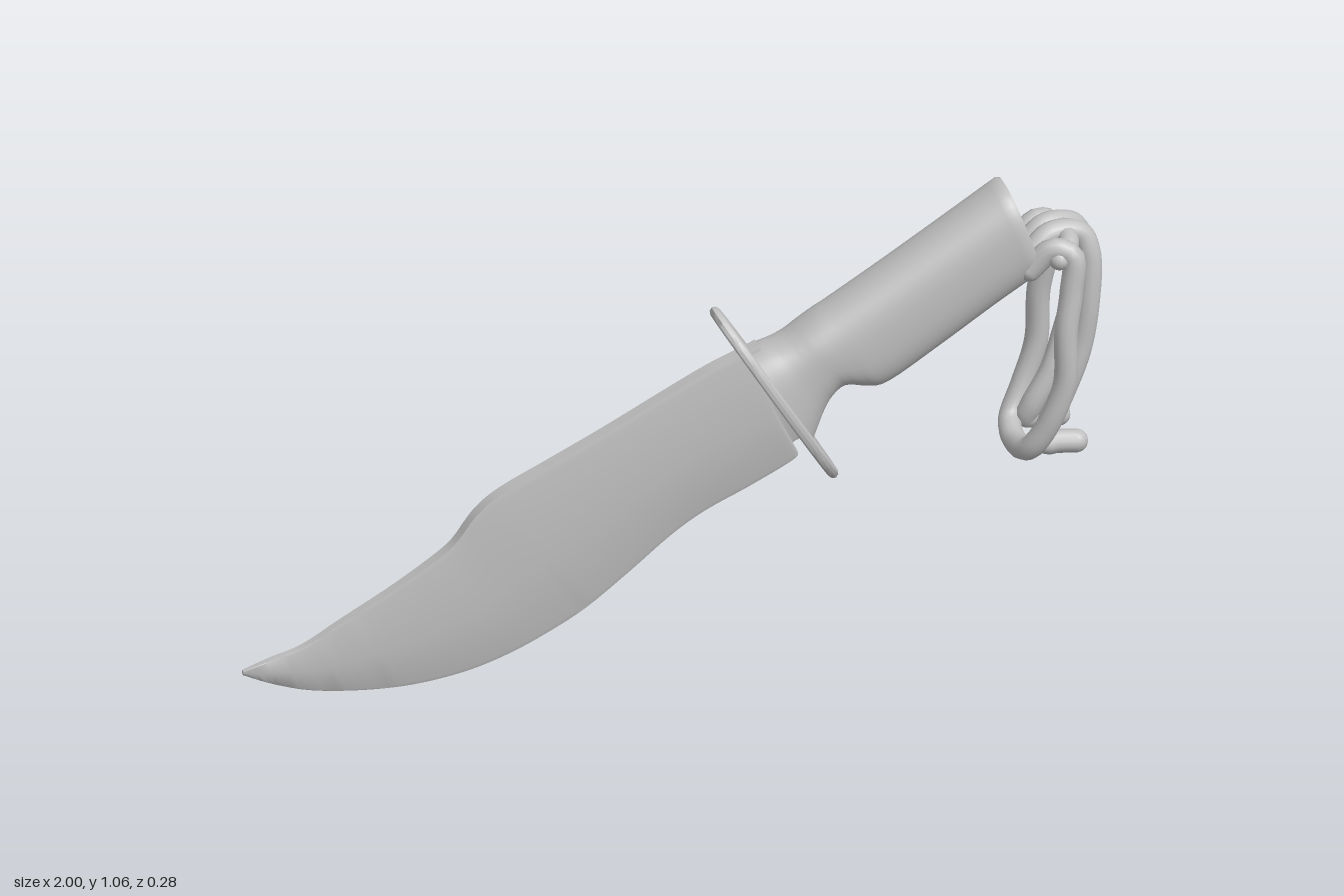
import * as THREE from 'three';
import { toCreasedNormals } from 'three/addons/utils/BufferGeometryUtils.js';

// Smoothly resample a list of equal-length number rows
function resample(rows, steps) {
  const out = [];
  for (let i = 0; i < rows.length - 1; i++) {
    for (let k = 0; k < steps; k++) {
      const t = k / steps;
      const p0 = rows[Math.max(i - 1, 0)], p1 = rows[i], p2 = rows[i + 1];
      const p3 = rows[Math.min(i + 2, rows.length - 1)];
      out.push(p1.map((b, j) => {
        const a = p0[j], c = p2[j], d = p3[j];
        return b + 0.5 * t * (c - a + t * (2 * a - 5 * b + 4 * c - d + t * (3 * (b - c) + d - a)));
      }));
    }
  }
  out.push(rows[rows.length - 1]);
  return out;
}

// Skin closed rings (counter-clockwise about the direction of travel), capped at both ends
function loft(rings, crease) {
  const n = rings[0].length, last = (rings.length - 1) * n, index = [];
  for (let i = 0; i < rings.length - 1; i++) {
    for (let j = 0; j < n; j++) {
      const a = i * n + j, b = i * n + (j + 1) % n;
      index.push(a, b, b + n, a, b + n, a + n);
    }
  }
  for (let j = 1; j < n - 1; j++) {
    index.push(0, j + 1, j, last, last + j, last + j + 1);
  }
  const g = new THREE.BufferGeometry();
  g.setAttribute('position', new THREE.Float32BufferAttribute(rings.flat(2), 3));
  g.setIndex(index);
  return toCreasedNormals(g, crease);
}

export function createModel() {
  const group = new THREE.Group();
  const grey = new THREE.MeshStandardMaterial({ color: 0xc0c0c0 });
  grey.name = 'plain grey';
  const add = (parent, name, geometry) => {
    const mesh = new THREE.Mesh(geometry, grey);
    mesh.name = name;
    parent.add(mesh);
    return mesh;
  };

  // Blade: spine x, y, cutting edge x, y, half thickness
  const bladeRows = resample([
    [-1, 0.092, -1, 0.082, 0.007], [-0.93, 0.115, -0.93, 0.05, 0.009],
    [-0.86, 0.135, -0.84, 0.022, 0.011], [-0.77, 0.185, -0.72, 0.006, 0.013],
    [-0.66, 0.245, -0.6, 0.004, 0.015], [-0.57, 0.3, -0.48, 0.02, 0.017],
    [-0.51, 0.345, -0.38, 0.05, 0.018], [-0.46, 0.41, -0.29, 0.09, 0.019],
    [-0.4, 0.457, -0.2, 0.14, 0.02], [-0.28, 0.515, -0.1, 0.215, 0.02],
    [-0.15, 0.578, 0, 0.295, 0.02], [-0.02, 0.645, 0.08, 0.345, 0.02],
    [0.08, 0.695, 0.18, 0.39, 0.02], [0.14, 0.72, 0.28, 0.44, 0.02],
    [0.155, 0.726, 0.295, 0.46, 0.02], [0.17, 0.732, 0.282, 0.485, 0.02],
    [0.2, 0.745, 0.32, 0.5, 0.02],
  ], 4);
  const bevel = [[0, 0.85], [0.04, 1], [0.55, 0.95], [0.97, 0.4], [1, 0.2]];
  const bladeRings = bladeRows.map(([sx, sy, ex, ey, t]) => {
    const at = (u, z) => [sx + (ex - sx) * u, sy + (ey - sy) * u, z];
    return [
      ...bevel.map(([u, k]) => at(u, k * t)),
      ...[...bevel].reverse().map(([u, k]) => at(u, -k * t)),
    ];
  });
  add(group, 'blade', loft(bladeRings, 0.6));

  // Grip frame: x runs along the handle, y towards the spine
  const hilt = new THREE.Group();
  hilt.name = 'hilt';
  hilt.position.set(0.24, 0.615, 0);
  hilt.rotation.z = 0.562;
  group.add(hilt);

  // Oval guard plate with a rounded rim
  const rim = [[0, -0.012], [0.95, -0.012], [0.985, -0.008], [1, 0], [0.985, 0.008], [0.95, 0.012], [0, 0.012]];
  const guardGeo = new THREE.LatheGeometry(rim.map(([r, y]) => new THREE.Vector2(r, y)), 56);
  guardGeo.scale(0.264, 1, 0.13);
  guardGeo.rotateZ(Math.PI / 2);
  add(hilt, 'guard', toCreasedNormals(guardGeo, 0.8));

  // Handle: along at top, along at bottom, top, bottom, half width
  const handleRows = resample([
    [0, 0, 0.128, -0.15, 0.088], [0.035, 0.035, 0.121, -0.123, 0.084],
    [0.065, 0.065, 0.112, -0.1, 0.081], [0.1, 0.1, 0.106, -0.08, 0.08],
    [0.14, 0.14, 0.107, -0.076, 0.081], [0.18, 0.18, 0.108, -0.112, 0.083],
    [0.225, 0.225, 0.106, -0.134, 0.085], [0.38, 0.37, 0.103, -0.135, 0.086],
    [0.55, 0.52, 0.102, -0.132, 0.088], [0.685, 0.635, 0.102, -0.133, 0.09],
  ], 4);
  handleRows.push([0.694, 0.644, 0.096, -0.127, 0.084]);
  const soft = (v) => Math.sign(v) * Math.abs(v) ** 0.8;
  const handleRings = handleRows.map(([st, sb, top, bottom, w]) =>
    Array.from({ length: 40 }, (_, j) => {
      const a = (j / 40) * Math.PI * 2;
      const u = (1 + soft(Math.cos(a))) / 2;
      return [sb + (st - sb) * u, bottom + (top - bottom) * u, w * soft(Math.sin(a))];
    }));
  add(hilt, 'handle', loft(handleRings, 0.7));

  // Lanyard cords with rounded ends
  const lanyard = new THREE.Group();
  lanyard.name = 'lanyard';
  group.add(lanyard);
  const cord = (name, points, radius) => {
    const path = points.map((p) => new THREE.Vector3(...p));
    add(lanyard, name, new THREE.TubeGeometry(new THREE.CatmullRomCurve3(path), 90, radius, 12));
    for (const end of [path[0], path[path.length - 1]]) {
      add(lanyard, name + 'End', new THREE.SphereGeometry(radius, 12, 8)).position.copy(end);
    }
  };

  // Outer strands join in a loop at the bottom
  const half = [
    [0.82, 0.87, 0.06], [0.87, 0.92, 0.075], [0.91, 0.905, 0.09], [0.905, 0.82, 0.1],
    [0.89, 0.73, 0.11], [0.885, 0.6, 0.114], [0.85, 0.5, 0.105], [0.815, 0.435, 0.08],
    [0.805, 0.418, 0.04],
  ];
  const mirrored = half.map(([x, y, z]) => [x, y, -z]).reverse();
  cord('outerCord', [...half, [0.805, 0.412, 0], ...mirrored], 0.027);

  // Inner strands hang in front and end in short turned-out tips
  cord('innerCordLeft', [
    [0.82, 0.88, 0.03], [0.88, 0.93, 0.015], [0.95, 0.92, 0.01], [0.97, 0.87, 0.02],
    [0.965, 0.76, 0.03], [0.945, 0.64, 0.03], [0.905, 0.54, 0.035], [0.86, 0.47, 0.06],
    [0.85, 0.438, 0.07], [0.88, 0.437, 0.07], [0.925, 0.432, 0.07],
  ], 0.027);
  cord('innerCordRight', [
    [0.82, 0.88, -0.02], [0.88, 0.93, -0.03], [0.95, 0.915, -0.05], [0.973, 0.87, -0.06],
    [0.97, 0.76, -0.072], [0.94, 0.64, -0.075], [0.905, 0.55, -0.06], [0.86, 0.47, -0.06],
    [0.85, 0.438, -0.07], [0.88, 0.437, -0.07], [0.925, 0.432, -0.07],
  ], 0.027);

  // Wrap that gathers the strands where they leave the handle
  cord('cordWrap', [
    [0.88, 0.9, -0.09], [0.91, 0.92, -0.06], [0.915, 0.925, 0], [0.91, 0.92, 0.06], [0.88, 0.9, 0.09],
  ], 0.024);

  return group;
}
